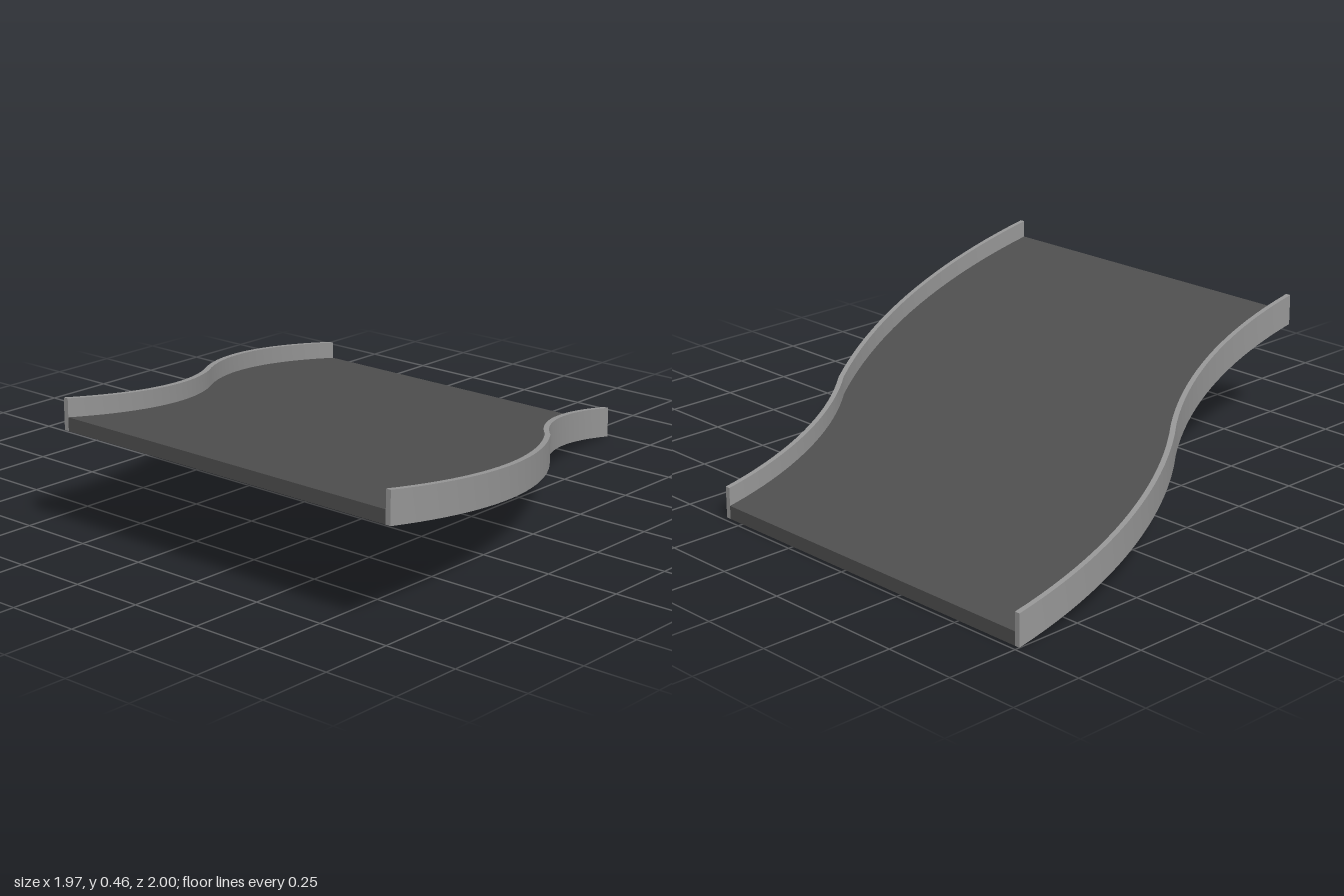
import * as THREE from 'three';
import { toCreasedNormals } from 'three/addons/utils/BufferGeometryUtils.js';

const END = 0.983, RISE = 0.35, RAIL = 0.018, STEPS = 20;

// Depth of a circular arc that starts level and reaches (run, drop), at distance d
function arc(d, run, drop) {
  const r = (run * run + drop * drop) / (2 * drop);
  return r - Math.sqrt(r * r - d * d);
}

// S-shaped outer edge: two opposed arcs meeting at (midX, midZ)
function edge(zLeft, midX, midZ, zRight) {
  const pts = [];
  const runL = midX + END, runR = END - midX;
  for (let i = 0; i <= STEPS; i++) {
    const d = runL * i / STEPS;
    pts.push(new THREE.Vector2(-END + d, zLeft - arc(d, runL, zLeft - midZ)));
  }
  for (let i = 1; i <= STEPS; i++) {
    const d = runR * (1 - i / STEPS);
    pts.push(new THREE.Vector2(END - d, zRight + arc(d, runR, midZ - zRight)));
  }
  return pts;
}

// Offset an edge sideways along its normal, keeping the ends flush
function offset(pts, dist) {
  return pts.map((p, i) => {
    const a = pts[Math.max(i - 1, 0)], b = pts[Math.min(i + 1, pts.length - 1)];
    const t = b.clone().sub(a).normalize();
    const x = i === 0 || i === pts.length - 1 ? p.x : p.x - t.y * dist;
    return new THREE.Vector2(x, p.y + t.x * dist);
  });
}

// Slab between two plan edges (x, z), sheared to follow the ramp's slope
function slab(name, back, front, height, color) {
  const outline = [...front, ...back.slice().reverse()].map(p => new THREE.Vector2(p.x, -p.y));
  const geo = new THREE.ExtrudeGeometry(new THREE.Shape(outline), { depth: height, bevelEnabled: false });
  geo.rotateX(-Math.PI / 2);
  const pos = geo.attributes.position;
  for (let i = 0; i < pos.count; i++) {
    pos.setY(i, pos.getY(i) + RISE * (END - pos.getX(i)) / (2 * END));
  }
  geo.computeVertexNormals();
  const mesh = new THREE.Mesh(toCreasedNormals(geo, 0.5), new THREE.MeshStandardMaterial({ color }));
  mesh.name = name;
  return mesh;
}

export function createModel() {
  const group = new THREE.Group();
  group.name = 'curvedRamp';

  const back = edge(-0.333, -0.08, -0.625, -1);
  const front = edge(1, 0.28, 0.6, 0.328);
  const backInner = offset(back, RAIL);
  const frontInner = offset(front, -RAIL);

  // Road surface between the two curbs
  group.add(slab('deck', backInner, frontInner, 0.045, 0x505050));
  // Raised curbs along both curved sides
  group.add(slab('backCurb', back, backInner, 0.106, 0x999999));
  group.add(slab('frontCurb', frontInner, front, 0.106, 0x999999));
  return group;
}
